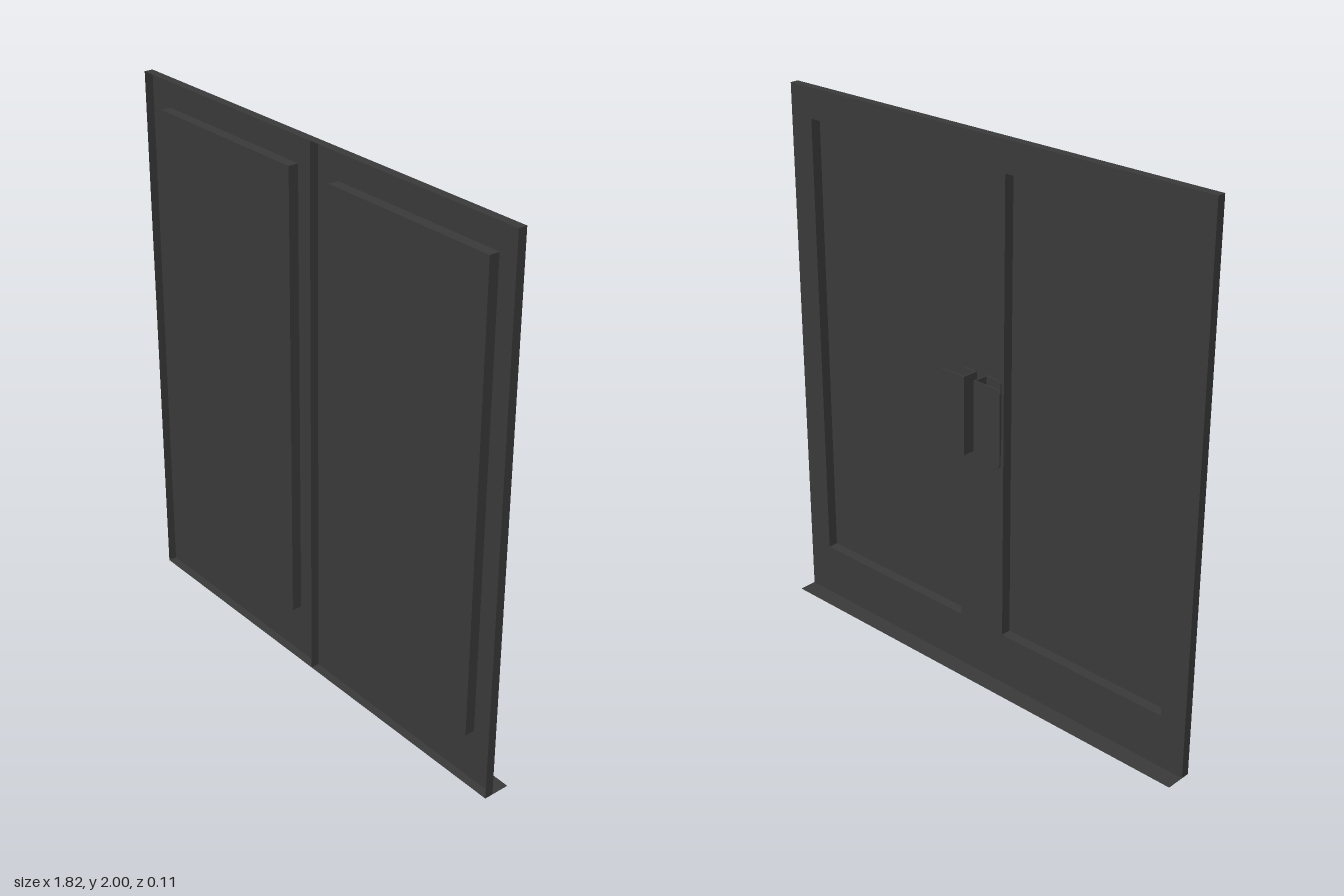
import * as THREE from 'three';

const material = new THREE.MeshStandardMaterial({ color: 0x3a3a3a, side: THREE.DoubleSide });

const W = 0.91, H = 2;                          // leaf width and height
const BACK = 0.015, RIM = 0.047, FACE = 0.053;  // depths of sheet, rim and pressed panel
const PANEL = { x0: 0.1, x1: 0.81, y0: 0.2, y1: 1.89 };

function add(parent, name, geometry, x = 0, y = 0, z = 0) {
  const mesh = new THREE.Mesh(geometry, material);
  mesh.name = name;
  mesh.position.set(x, y, z);
  parent.add(mesh);
  return mesh;
}

// Thin folded walls around a rectangle, running from depth z0 to z1
function addWalls(parent, name, { x0, x1, y0, y1 }, z0, z1) {
  const group = new THREE.Group();
  group.name = name;
  const d = z1 - z0, zm = (z0 + z1) / 2;
  for (const x of [x0, x1]) {
    add(group, name + 'Side', new THREE.PlaneGeometry(d, y1 - y0), x, (y0 + y1) / 2, zm).rotation.y = x === x1 ? Math.PI / 2 : -Math.PI / 2;
  }
  for (const y of [y0, y1]) {
    add(group, name + 'Edge', new THREE.PlaneGeometry(x1 - x0, d), (x0 + x1) / 2, y, zm).rotation.x = y === y1 ? -Math.PI / 2 : Math.PI / 2;
  }
  parent.add(group);
}

// Plate with its two outer corners clipped
function plateGeometry(x0, x1, y0, y1, thickness, c) {
  const shape = new THREE.Shape([
    [x0, y0], [x1 - c, y0], [x1, y0 + c], [x1, y1 - c], [x1 - c, y1], [x0, y1],
  ].map(([x, y]) => new THREE.Vector2(x, y)));
  return new THREE.ExtrudeGeometry(shape, { depth: thickness, bevelEnabled: false });
}

// Pull handle with a C-shaped section, open away from the middle
function createHandle() {
  const handle = new THREE.Group();
  handle.name = 'handle';
  const y0 = 0.89, y1 = 1.18, t = 0.006;
  add(handle, 'handleFoot', plateGeometry(0.022, 0.09, y0, y1, t, 0.012), 0, 0, BACK - t);
  add(handle, 'handleGrip', plateGeometry(0.022, 0.14, y0, y1, t, 0.012), 0, 0, -0.048);
  add(handle, 'handleWeb', new THREE.BoxGeometry(t, y1 - y0, BACK + 0.048 - 2 * t),
    0.022 + t / 2, (y0 + y1) / 2, (BACK - 0.048) / 2);
  return handle;
}

// One leaf on the +x side: pressed sheet, folded rim, raised panel and handle
function createLeaf(name) {
  const leaf = new THREE.Group();
  leaf.name = name;
  const { x0, x1, y0, y1 } = PANEL;
  const sheet = new THREE.Shape([[0, 0], [W, 0], [W, H], [0, H]].map(([x, y]) => new THREE.Vector2(x, y)));
  sheet.holes.push(new THREE.Path([[x0, y0], [x0, y1], [x1, y1], [x1, y0]].map(([x, y]) => new THREE.Vector2(x, y))));
  add(leaf, 'leafSheet', new THREE.ShapeGeometry(sheet), 0, 0, BACK);
  addWalls(leaf, 'leafRim', { x0: 0, x1: W, y0: 0, y1: H }, BACK, RIM);
  add(leaf, 'panelFace', new THREE.PlaneGeometry(x1 - x0, y1 - y0), (x0 + x1) / 2, (y0 + y1) / 2, FACE);
  addWalls(leaf, 'panelWall', PANEL, BACK, FACE);
  leaf.add(createHandle());
  return leaf;
}

export function createModel() {
  const door = new THREE.Group();
  door.name = 'doubleDoor';
  const left = createLeaf('leftLeaf');
  const right = createLeaf('rightLeaf');
  right.scale.x = -1;
  door.add(left, right);

  // Flat threshold strip behind the leaves
  add(door, 'threshold', new THREE.PlaneGeometry(2 * W, BACK + FACE), 0, 0, (BACK - FACE) / 2).rotation.x = -Math.PI / 2;
  return door;
}
